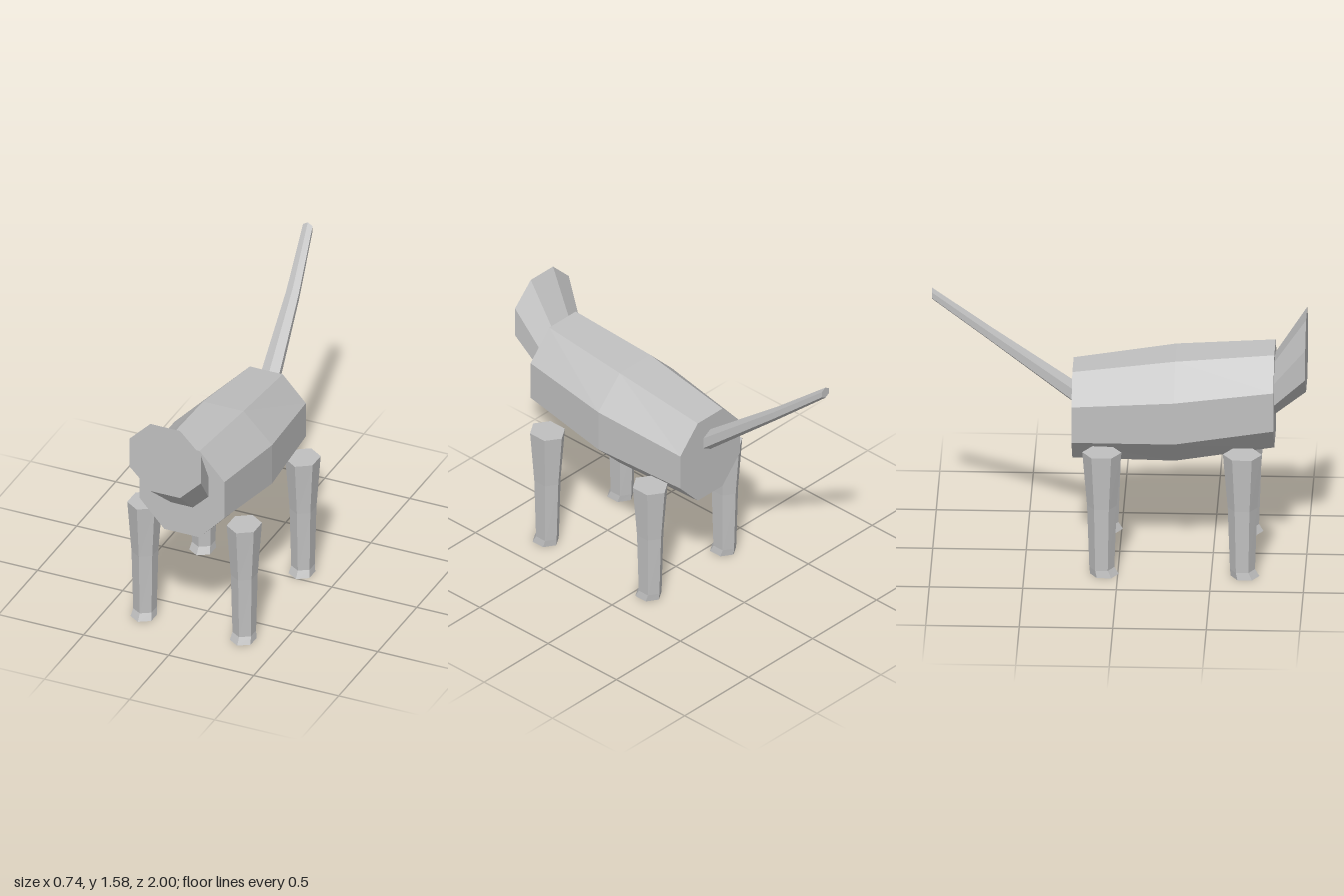
import * as THREE from 'three';

// Closed low-poly loft along +z. Each ring is [x, y, z, halfWidth, halfHeight].
function loft(sides, rings) {
  const angles = Array.from({ length: sides }, (_, j) => ((2 * j + 1) * Math.PI) / sides);
  const maxCos = Math.max(...angles.map((a) => Math.abs(Math.cos(a))));
  const maxSin = Math.max(...angles.map((a) => Math.abs(Math.sin(a))));
  const pos = [];
  const index = [];
  for (const [x, y, z, w, h] of rings) {
    for (const a of angles) pos.push(x + (Math.cos(a) * w) / maxCos, y + (Math.sin(a) * h) / maxSin, z);
  }
  for (let i = 0; i < rings.length - 1; i++) {
    for (let j = 0; j < sides; j++) {
      const a = i * sides + j;
      const b = i * sides + ((j + 1) % sides);
      index.push(a, b, b + sides, a, b + sides, a + sides);
    }
  }
  // end caps
  const last = (rings.length - 1) * sides;
  for (let j = 1; j < sides - 1; j++) {
    index.push(0, j + 1, j, last, last + j, last + j + 1);
  }
  const indexed = new THREE.BufferGeometry();
  indexed.setAttribute('position', new THREE.Float32BufferAttribute(pos, 3));
  indexed.setIndex(index);
  const geometry = indexed.toNonIndexed();
  geometry.computeVertexNormals();
  return geometry;
}

export function createModel() {
  const model = new THREE.Group();
  model.name = 'animal';
  const grey = new THREE.MeshStandardMaterial({ color: 0xc0c0c0 });
  grey.name = 'light grey';
  grey.flatShading = true;

  const add = (name, geometry) => {
    const mesh = new THREE.Mesh(geometry, grey);
    mesh.name = name;
    model.add(mesh);
    return mesh;
  };

  // barrel-shaped body
  add('body', loft(8, [
    [0, 0.84, -0.25, 0.233, 0.25],
    [0, 0.88, 0.3, 0.287, 0.29],
    [0, 0.94, 0.83, 0.25, 0.27],
  ]));

  // flared head with a flat face, turned slightly to one side
  add('head', loft(8, [
    [0, 1.0, 0.83, 0.155, 0.153],
    [-0.02, 1.21, 1, 0.21, 0.21],
  ]));

  // raised tail, bending sideways
  add('tail', loft(6, [
    [-0.1, 1.542, -1, 0.028, 0.033],
    [-0.052, 1.296, -0.7, 0.037, 0.042],
    [-0.003, 0.94, -0.25, 0.055, 0.064],
  ]));

  // tapering legs with small forward feet, lofted upright
  const leg = loft(6, [
    [0, -0.014, 0, 0.061, 0.077],
    [0, 0, 0.04, 0.054, 0.067],
    [0, 0, 0.4, 0.061, 0.079],
    [0, 0, 0.71, 0.08, 0.105],
  ]).rotateX(-Math.PI / 2);
  for (const [end, z] of [['front', 0.667], ['hind', -0.085]]) {
    for (const [side, x] of [['Left', 0.292], ['Right', -0.292]]) {
      add(`${end}${side}Leg`, leg).position.set(x, 0, z);
    }
  }
  return model;
}
